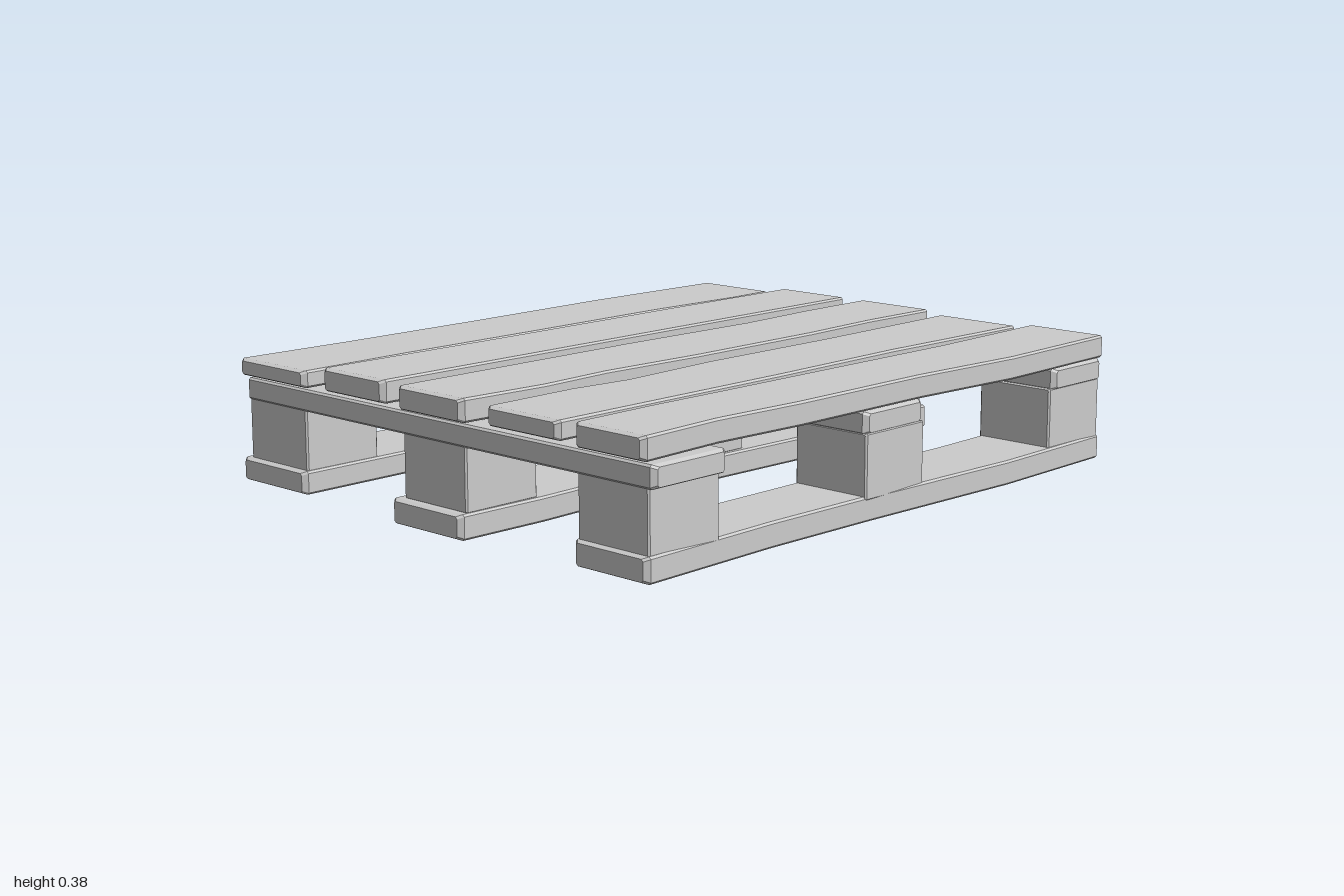
import * as THREE from 'three';

const material = new THREE.MeshStandardMaterial({ color: 0xcccccc, flatShading: true });

// Board running along z: stations are [z, xMin, xMax], from back to front.
// Long edges are bevelled by c, the two ends are drawn in by e.
function board(name, y0, y1, stations, c = 0.006, e = 0.014) {
  const first = stations[0], last = stations[stations.length - 1];
  const rows = [
    [first[0], first[1] + e, first[2] - e, c],
    [first[0] + e, first[1], first[2], 0],
    ...stations.slice(1, -1).map(s => [...s, 0]),
    [last[0] - e, last[1], last[2], 0],
    [last[0], last[1] + e, last[2] - e, c],
  ];
  const rings = rows.map(([z, l, r, d]) => {
    const b = y0 + d, t = y1 - d;
    return [[l + c, b], [r - c, b], [r, b + c], [r, t - c], [r - c, t], [l + c, t], [l, t - c], [l, b + c]]
      .map(([x, y]) => [x, y, z]);
  });
  const pos = [];
  const tri = (...pts) => pts.forEach(p => pos.push(...p));
  for (let i = 0; i < rings.length - 1; i++) {
    for (let j = 0; j < 8; j++) {
      const k = (j + 1) % 8, A = rings[i], B = rings[i + 1];
      tri(A[j], A[k], B[k]);
      tri(A[j], B[k], B[j]);
    }
  }
  // end caps
  const back = rings[0], front = rings[rings.length - 1];
  for (let j = 1; j < 7; j++) {
    tri(back[0], back[j + 1], back[j]);
    tri(front[0], front[j], front[j + 1]);
  }
  const geometry = new THREE.BufferGeometry();
  geometry.setAttribute('position', new THREE.Float32BufferAttribute(pos, 3));
  geometry.computeVertexNormals();
  const mesh = new THREE.Mesh(geometry, material);
  mesh.name = name;
  return mesh;
}

export function createModel() {
  const pallet = new THREE.Group();
  pallet.name = 'pallet';

  // Deck boards with slightly worn, wavy sides
  const deck = [
    [0.32, 0.37, [[-0.98, -0.815, -0.535], [-0.8, -0.82, -0.53], [-0.45, -0.83, -0.545], [0.1, -0.82, -0.54], [0.6, -0.82, -0.54], [0.99, -0.83, -0.53]]],
    [0.318, 0.385, [[-0.99, -0.47, -0.21], [-0.45, -0.475, -0.21], [0.3, -0.47, -0.21], [0.97, -0.475, -0.21]]],
    [0.318, 0.385, [[-0.99, -0.13, 0.14], [-0.7, -0.13, 0.135], [-0.4, -0.115, 0.15], [0.1, -0.13, 0.15], [0.45, -0.13, 0.135], [0.7, -0.13, 0.15], [0.99, -0.13, 0.135]]],
    [0.318, 0.373, [[-0.99, 0.19, 0.48], [-0.4, 0.2, 0.465], [0.1, 0.195, 0.475], [0.45, 0.215, 0.475], [0.65, 0.195, 0.475], [0.965, 0.2, 0.475]]],
    [0.318, 0.385, [[-0.98, 0.545, 0.81], [-0.5, 0.56, 0.825], [-0.1, 0.555, 0.8], [0.4, 0.55, 0.8], [0.7, 0.545, 0.785], [0.985, 0.55, 0.8]]],
  ];
  deck.forEach(([y0, y1, s]) => pallet.add(board('deckBoard', y0, y1, s)));

  // Cross boards, turned to run along x: [zMin, zMax, xMin, xMax]
  const cross = [[0.705, 0.975, -0.82, 0.825], [-0.12, 0.13, -0.815, 0.8], [-0.97, -0.725, -0.815, 0.81]];
  for (const [z0, z1, x0, x1] of cross) {
    const mesh = board('crossBoard', 0.25, 0.314, [[x0, -z1, -z0], [x1, -z1, -z0]]);
    mesh.rotation.y = Math.PI / 2;
    pallet.add(mesh);
  }

  // Nine spacer blocks
  for (const [x0, x1] of [[-0.81, -0.55], [-0.127, 0.127], [0.55, 0.802]]) {
    for (const [z0, z1] of [[-0.967, -0.715], [-0.12, 0.13], [0.713, 0.97]]) {
      pallet.add(board('spacerBlock', 0.07, 0.255, [[z0, x0, x1], [z1, x0, x1]], 0.003, 0.005));
    }
  }

  // Bottom runners
  const runners = [
    [0.01, 0.078, [[-0.98, -0.81, -0.54], [-0.4, -0.825, -0.55], [0.3, -0.82, -0.545], [0.99, -0.83, -0.54]]],
    [0, 0.072, [[-1, -0.15, 0.13], [-0.7, -0.15, 0.145], [-0.4, -0.163, 0.155], [0.1, -0.155, 0.14], [0.45, -0.16, 0.13], [0.7, -0.155, 0.14], [1, -0.15, 0.135]]],
    [0.008, 0.08, [[-0.98, 0.545, 0.805], [-0.5, 0.56, 0.82], [0.1, 0.55, 0.8], [0.5, 0.55, 0.795], [0.985, 0.545, 0.81]]],
  ];
  runners.forEach(([y0, y1, s]) => pallet.add(board('bottomRunner', y0, y1, s)));

  return pallet;
}
